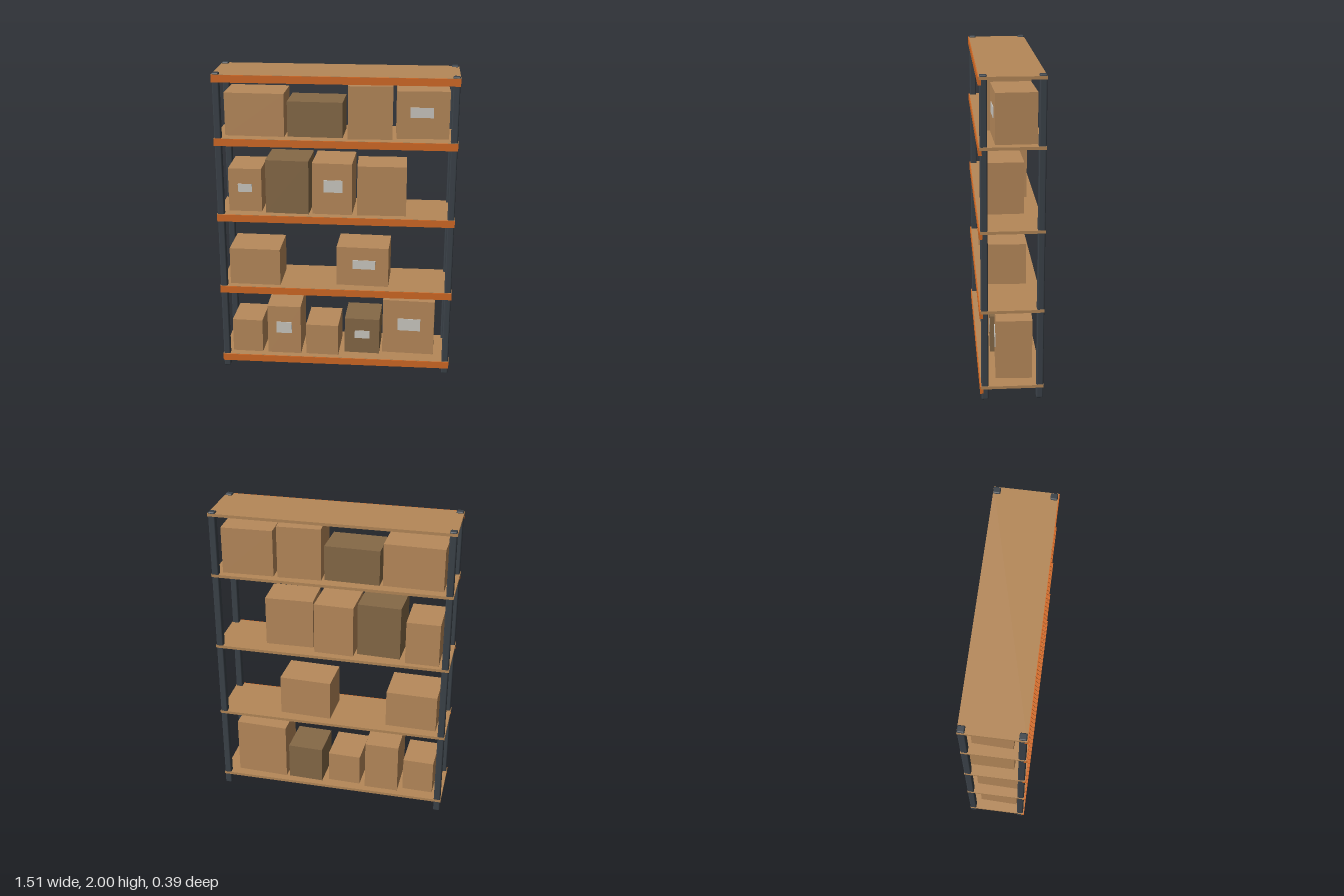
import * as THREE from 'three';
import { RoundedBoxGeometry } from 'three/addons/geometries/RoundedBoxGeometry.js';

const material = (name, color) => {
  const m = new THREE.MeshStandardMaterial({ color });
  m.name = name;
  return m;
};

export function createModel() {
  const charcoal = material('charcoal steel', 0x3b4249);
  const orange = material('orange steel', 0xd36a25);
  const wood = material('shelf board', 0xb58858);
  const card = material('cardboard', 0xb88a5b);
  const darkCard = material('dark cardboard', 0x866947);
  const paper = material('label paper', 0xcdcac3);

  const model = new THREE.Group();
  model.name = 'storageRack';

  const add = (parent, name, geometry, mat, x, y, z) => {
    const mesh = new THREE.Mesh(geometry, mat);
    mesh.name = name;
    mesh.position.set(x, y, z);
    parent.add(mesh);
    return mesh;
  };

  // Four upright posts with softened edges
  const postShape = new RoundedBoxGeometry(0.043, 2, 0.043, 2, 0.008);
  for (const x of [-0.73, 0.73]) {
    add(model, 'frontPost', postShape, charcoal, x, 1, 0.164);
    add(model, 'backPost', postShape, charcoal, x, 1, -0.171);
  }

  // Shelf boards, each with a beam along the front edge
  const boardShape = new THREE.BoxGeometry(1.51, 0.018, 0.381);
  const beamShape = new THREE.BoxGeometry(1.508, 0.046, 0.02);
  for (const top of [0.09, 0.59, 1.09, 1.59, 1.99]) {
    add(model, 'shelfBoard', boardShape, wood, 0, top - 0.009, -0.0025);
    add(model, 'frontBeam', beamShape, orange, 0, top - 0.024, 0.184);
  }

  // Cartons per shelf: left x, right x, top y, back z, front z, turn, dark, label [x, y, w, h]
  const rows = [
    { base: 0.09, cartons: [
      [-0.693, -0.484, 0.321, -0.12, 0.14, -0.03, false],
      [-0.455, -0.23, 0.432, -0.15, 0.145, -0.01, false, [-0.345, 0.279, 0.103, 0.08]],
      [-0.198, 0.026, 0.305, -0.13, 0.15, -0.03, false],
      [0.058, 0.299, 0.34, -0.15, 0.108, -0.035, true, [0.176, 0.227, 0.1, 0.055]],
      [0.31, 0.661, 0.475, -0.145, 0.093, -0.04, false, [0.486, 0.302, 0.15, 0.085]],
    ] },
    { base: 0.59, cartons: [
      [-0.693, -0.357, 0.838, -0.13, 0.148, -0.02, false],
      [0.003, 0.352, 0.857, -0.132, 0.122, -0.04, false, [0.183, 0.739, 0.148, 0.061]],
    ] },
    { base: 1.09, cartons: [
      [-0.688, -0.474, 1.374, -0.16, 0.115, -0.005, false, [-0.582, 1.247, 0.09, 0.053]],
      [-0.447, -0.159, 1.44, -0.122, 0.145, -0.045, true],
      [-0.15, 0.114, 1.427, -0.15, 0.14, -0.035, false, [-0.016, 1.278, 0.12, 0.08]],
      [0.132, 0.447, 1.414, -0.095, 0.138, 0.02, false],
    ] },
    { base: 1.59, cartons: [
      [-0.696, -0.315, 1.862, -0.135, 0.12, -0.03, false],
      [-0.304, 0.05, 1.814, -0.13, 0.12, -0.03, true],
      [0.066, 0.352, 1.923, -0.143, 0.143, 0.035, false],
      [0.368, 0.7, 1.889, -0.148, 0.105, 0.03, false, [0.53, 1.756, 0.143, 0.064]],
    ] },
  ];

  for (const { base, cartons } of rows) {
    for (const [x0, x1, top, z0, z1, turn, dark, label] of cartons) {
      const cx = (x0 + x1) / 2;
      const t = Math.abs(turn);
      // Shrink the outer extents so the turned carton fits them
      const w = x1 - x0 - (z1 - z0) * t;
      const d = z1 - z0 - (x1 - x0) * t;
      const carton = new THREE.Group();
      carton.name = 'carton';
      carton.position.set(cx, base, (z0 + z1) / 2);
      carton.rotation.y = turn;
      model.add(carton);
      const h = top - base;
      add(carton, 'cartonBody', new THREE.BoxGeometry(w, h, d), dark ? darkCard : card, 0, h / 2, 0);
      if (label) {
        const [lx, ly, lw, lh] = label;
        const offset = lx - cx - (d / 2) * Math.sin(turn);
        add(carton, 'cartonLabel', new THREE.BoxGeometry(lw, lh, 0.004), paper, offset, ly - base, d / 2 + 0.002);
      }
    }
  }
  return model;
}
